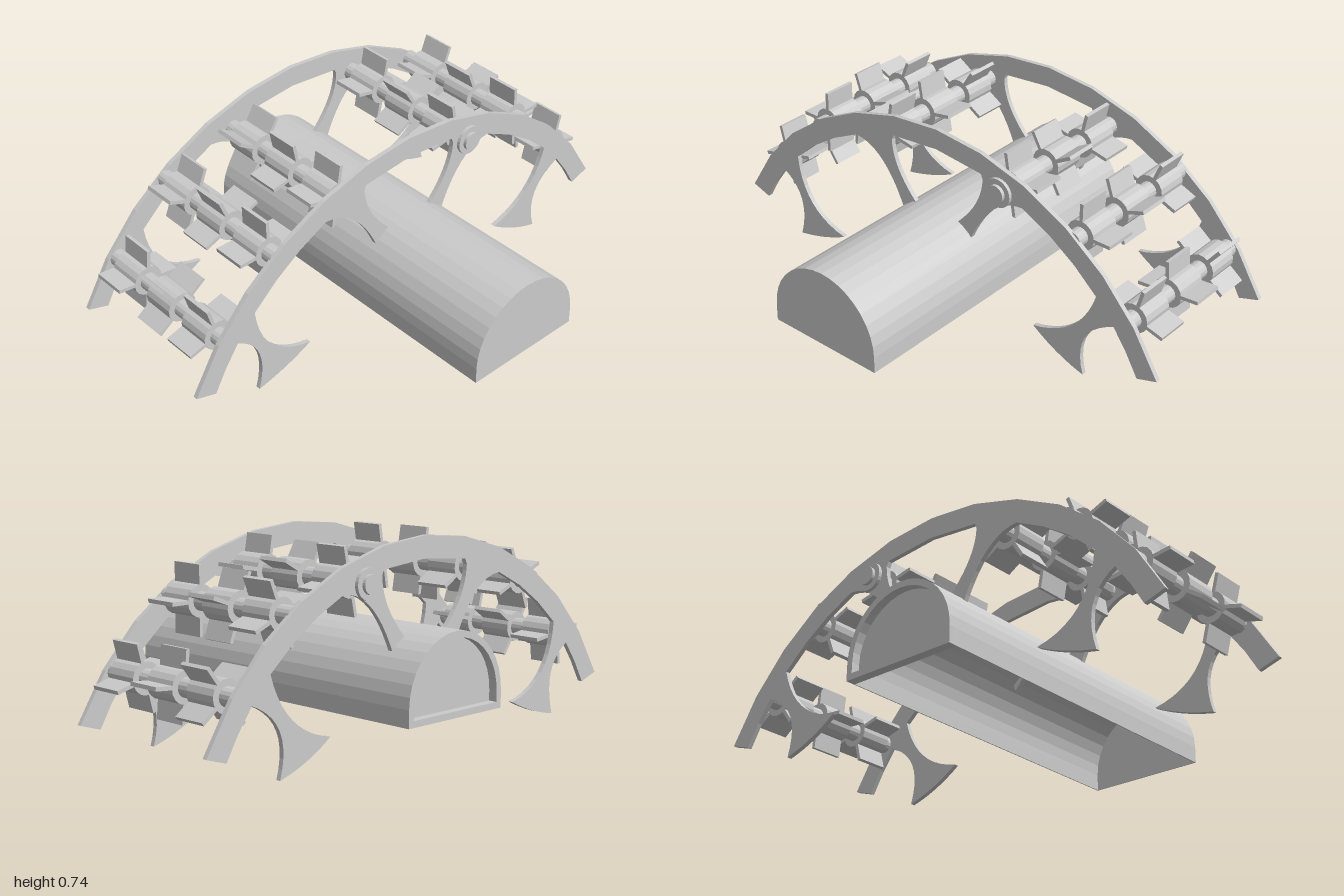
import * as THREE from 'three';

const material = new THREE.MeshStandardMaterial({ color: 0xcccccc, flatShading: true, side: THREE.DoubleSide });

function addMesh(parent, geometry, name, x = 0, y = 0, z = 0) {
  const mesh = new THREE.Mesh(geometry, material);
  mesh.name = name;
  mesh.position.set(x, y, z);
  parent.add(mesh);
  return mesh;
}

const extrude = (shape, depth) =>
  new THREE.ExtrudeGeometry(shape, { depth, bevelEnabled: false, curveSegments: 9 });

const rod = (r, length, sides = 16) =>
  new THREE.CylinderGeometry(r, r, length, sides).rotateX(Math.PI / 2);

// Points on a circle around the arch centre, from x0 to x1
function arcPoints(r, x0, x1, n) {
  const a0 = Math.asin(x0 / r), a1 = Math.asin(x1 / r);
  return Array.from({ length: n + 1 }, (_, i) => {
    const a = a0 + (a1 - a0) * i / n;
    return new THREE.Vector2(r * Math.sin(a), r * Math.cos(a) - 0.38);
  });
}

// Half of the arch outline with its claw foot (heel to toe) and curved strut
function halfArch(heelX, toeX, toeY) {
  const half = new THREE.Path();
  half.moveTo(0, 0.74);
  const follow = (pts) => pts.forEach((p) => half.lineTo(p.x, p.y));
  follow(arcPoints(1.12, 0, 1, 6).slice(1));
  follow(arcPoints(1.035, 0.918, 0.81, 2));
  half.quadraticCurveTo(heelX - 0.06, 0.19, heelX, 0);
  half.quadraticCurveTo((heelX + toeX) / 2 - 0.01, toeY * 0.3, toeX, toeY);
  half.quadraticCurveTo(heelX - 0.02, toeY + 0.04, 0.73, 0.354);
  follow(arcPoints(1.035, 0.73, 0.4, 3).slice(1));
  half.quadraticCurveTo(0.25, 0.57, 0.155, 0.33);
  half.lineTo(0.1, 0.395);
  half.quadraticCurveTo(0.215, 0.51, 0.218, 0.62);
  half.lineTo(0.21, 0.64);
  half.lineTo(0, 0.66);
  return half.getPoints(10);
}

// The feet differ slightly between the two sides
function archShape() {
  const leftSide = halfArch(0.69, 0.462, 0.108);
  const rightSide = halfArch(0.73, 0.49, 0.08).slice(1, -1).reverse()
    .map((p) => new THREE.Vector2(-p.x, p.y));
  return new THREE.Shape([...leftSide, ...rightSide]);
}

// Round-topped outline of the trough, inset by t
function domeShape(t) {
  const r = 0.24 - t, shape = new THREE.Shape();
  shape.moveTo(r, 0.121 + t);
  shape.lineTo(r, 0.185);
  shape.absarc(0, 0.185, r, 0, Math.PI, false);
  shape.lineTo(-r, 0.121 + t);
  shape.closePath();
  return shape;
}

// Thin shell open underneath, with a flush front wall and a framed back wall
function buildTrough() {
  const group = new THREE.Group();
  group.name = 'coveredTrough';
  const band = new THREE.Shape();
  band.moveTo(0.24, 0.121);
  band.lineTo(0.24, 0.185);
  band.absarc(0, 0.185, 0.24, 0, Math.PI, false);
  band.lineTo(-0.24, 0.121);
  band.lineTo(-0.236, 0.121);
  band.lineTo(-0.236, 0.185);
  band.absarc(0, 0.185, 0.236, Math.PI, 0, true);
  band.lineTo(0.236, 0.121);
  band.closePath();
  const frame = domeShape(0);
  frame.holes.push(domeShape(0.024));
  addMesh(group, extrude(band, 1.4), 'troughShell', 0, 0, -0.7);
  addMesh(group, extrude(domeShape(0), 0.004), 'frontWall', 0, 0, 0.696);
  addMesh(group, extrude(frame, 0.035), 'backFrame', 0, 0, -0.7);
  addMesh(group, extrude(domeShape(0), 0.004), 'backWall', 0, 0, -0.667);
  return group;
}

// Shaft carrying three four-bladed paddle wheels at different angles
function buildPaddleShaft(x, y, turn) {
  const group = new THREE.Group();
  group.name = 'paddleShaft';
  group.position.set(x, y, 0);
  addMesh(group, rod(0.034, 0.64), 'shaft', 0, 0, -0.222);
  const phases = [0, 20, 68];
  [-0.013, -0.215, -0.415].forEach((z, w) => {
    const wheel = new THREE.Group();
    wheel.name = 'paddleWheel';
    wheel.position.z = z;
    wheel.rotation.z = THREE.MathUtils.degToRad(phases[w] + turn);
    addMesh(wheel, rod(0.058, 0.13), 'wheelHub');
    for (let i = 0; i < 4; i++) {
      const a = i * Math.PI / 2;
      const blade = addMesh(wheel, new THREE.BoxGeometry(0.08, 0.014, 0.13), 'blade',
        Math.cos(a) * 0.085, Math.sin(a) * 0.085);
      blade.rotation.z = a;
    }
    group.add(wheel);
  });
  return group;
}

export function createModel() {
  const model = new THREE.Group();
  model.name = 'paddleArchMachine';
  model.add(buildTrough());

  // Front and back arch plates
  const plate = extrude(archShape(), 0.018);
  addMesh(model, plate, 'frontArch', 0, 0, 0.091);
  addMesh(model, plate, 'backArch', 0, 0, -0.553);

  // Three shafts on each side
  const spots = [[0.295, 0.6, 10], [0.61, 0.525, 0], [0.85, 0.29, -15]];
  for (const [x, y, turn] of spots) {
    model.add(buildPaddleShaft(x, y, turn));
    model.add(buildPaddleShaft(-x, y, -turn));
  }

  // Bearings outside both plates, on one shaft only
  for (const s of [1, -1]) {
    const face = s > 0 ? 0.109 : -0.556;
    addMesh(model, rod(0.056, 0.014, 24), 'bearingFlange', 0.295, 0.6, face + s * 0.006);
    addMesh(model, rod(0.035, 0.028, 24), 'bearingCap', 0.295, 0.6, face + s * 0.012);
  }
  return model;
}
